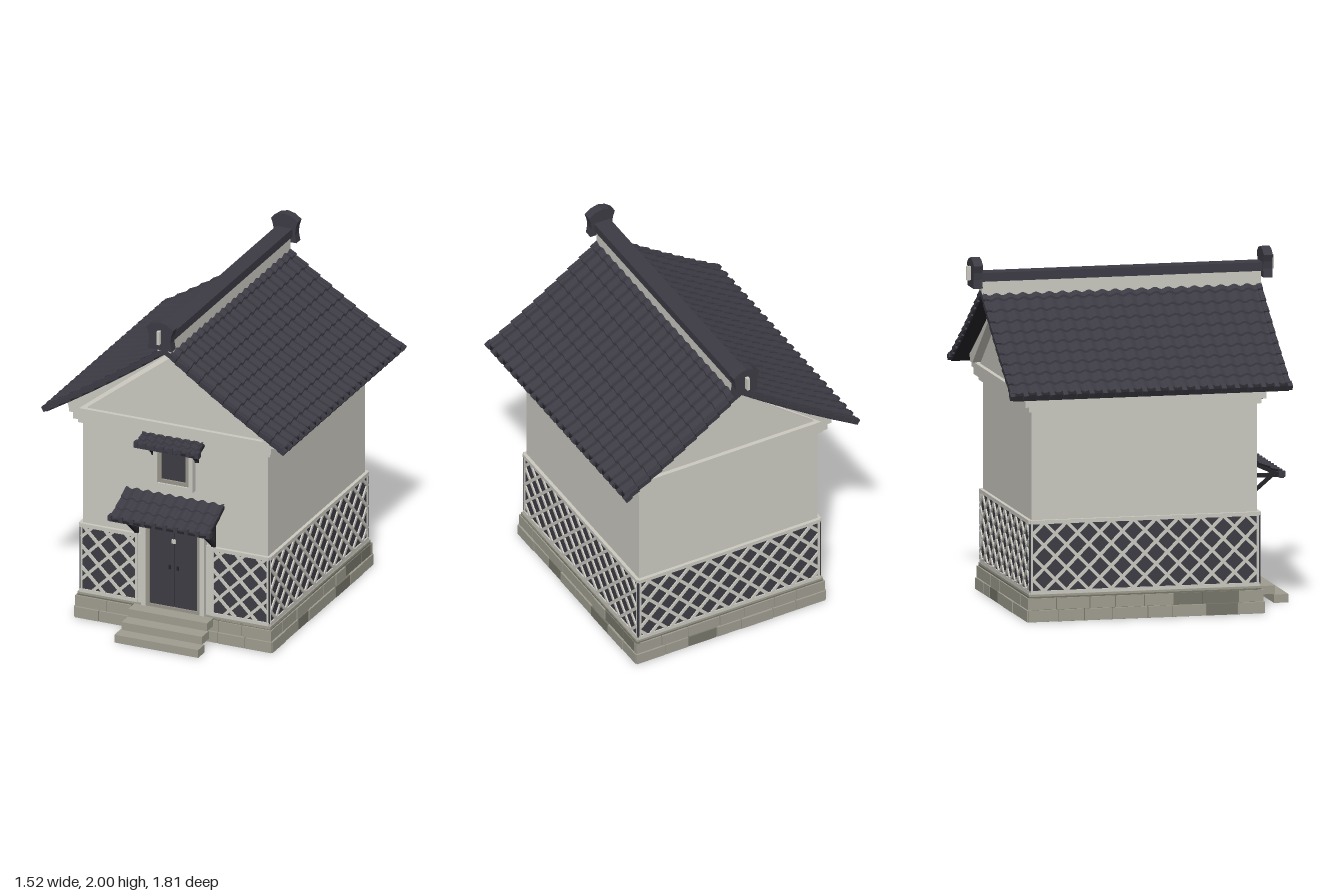
import * as THREE from 'three';

const mat = (name, color, extra = {}) => Object.assign(new THREE.MeshStandardMaterial({ color, flatShading: true, ...extra }), { name });
const M = {
  plaster: mat('plaster', 0xcbc9c0),
  tile: mat('roofTile', 0x3c3b44, { side: THREE.DoubleSide }),
  board: mat('darkBoard', 0x3d3c45),
  iron: mat('blackIron', 0x25252a),
  stone: mat('stone', 0x9f9d90),
  darkStone: mat('darkStone', 0x77766a),
  frame: mat('frameWood', 0x98958a),
};
const ZC = -0.01; // centre of the building in z

function add(parent, name, geo, material, x = 0, y = 0, z = 0) {
  const m = new THREE.Mesh(geo, material);
  m.name = name;
  m.position.set(x, y, z);
  parent.add(m);
  return m;
}
// box given by its limits on each axis
function block(parent, name, material, x0, x1, y0, y1, z0, z1) {
  return add(parent, name, new THREE.BoxGeometry(x1 - x0, y1 - y0, z1 - z0), material,
    (x0 + x1) / 2, (y0 + y1) / 2, (z0 + z1) / 2);
}
// flat bar between two points of a plane
function bar(parent, name, material, ax, ay, bx, by, width, depth, z = 0) {
  const m = add(parent, name, new THREE.BoxGeometry(Math.hypot(bx - ax, by - ay), width, depth), material,
    (ax + bx) / 2, (ay + by) / 2, z);
  m.rotation.z = Math.atan2(by - ay, bx - ax);
  return m;
}
function group(parent, name, x = 0, y = 0, z = 0, ry = 0) {
  const g = new THREE.Group();
  g.name = name;
  g.position.set(x, y, z);
  g.rotation.y = ry;
  parent.add(g);
  return g;
}
function prism(points, z0, z1) {
  const shape = new THREE.Shape(points.map(p => new THREE.Vector2(p[0], p[1])));
  return new THREE.ExtrudeGeometry(shape, { depth: z1 - z0, bevelEnabled: false }).translate(0, 0, z0);
}
let seed = 7;
const rnd = () => (seed = (seed * 16807) % 2147483647) / 2147483647;

// wavy stepped tile surface: slopes out along +x, width along z
function tileSheet(path, width, tiles, courses, amp, step) {
  const cols = tiles * 6, rows = courses * 2, pos = [], idx = [];
  for (let r = 0; r < rows; r++) {
    const c = Math.floor(r / 2), low = r % 2;
    const [x, y] = path((c + low) / courses);
    for (let k = 0; k <= cols; k++) {
      const wave = amp * (0.5 + 0.5 * Math.cos((k / 6) * Math.PI * 2));
      pos.push(x, y + wave + (low ? step : 0), (k / cols - 0.5) * width);
      if (r && k) {
        const a = (r - 1) * (cols + 1) + k - 1, b = a + cols + 1;
        idx.push(a, a + 1, b, b, a + 1, b + 1);
      }
    }
  }
  const g = new THREE.BufferGeometry();
  g.setAttribute('position', new THREE.Float32BufferAttribute(pos, 3));
  g.setIndex(idx);
  g.computeVertexNormals();
  return g;
}

// main roof line, from ridge to eave
const roofPath = u => [0.735 * u, 1.805 - 0.487 * u - 0.05 * u * (1 - u)];

function lattice(parent, name, w, x, z, ry) {
  const y0 = 0.175, h = 0.385, p = 0.13;
  const g = group(parent, name, x, y0, z, ry);
  block(g, 'panelBoard', M.board, -w / 2, w / 2, 0, h, -0.005, 0.008);
  // diagonal strips clipped to the panel
  for (const s of [1, -1]) {
    for (let c = -w / 2 - h + p / 2; c < w / 2; c += p) {
      const xa = Math.max(c, -w / 2), xb = Math.min(c + h, w / 2);
      if (xb - xa < 0.02) continue;
      bar(g, 'latticeStrip', M.plaster, s * xa, xa - c, s * xb, xb - c, 0.018, 0.012, 0.01);
    }
  }
  for (const s of [-1, 1]) block(g, 'panelEdge', M.plaster, s * w / 2 - 0.006, s * w / 2 + 0.006, 0, h, 0, 0.014);
  block(g, 'bottomRail', M.plaster, -w / 2 - 0.01, w / 2 + 0.01, -0.018, 0.002, -0.005, 0.016);
  block(g, 'topRail', M.plaster, -w / 2 - 0.01, w / 2 + 0.01, h - 0.002, h + 0.02, -0.005, 0.018);
}

// small tiled roof on brackets over an opening
function canopy(parent, name, half, top, drop, reach, tiles, braceX, braceY) {
  const g = group(parent, name, 0, 0, 0.645);
  const path = u => [reach * u, top - drop * (1.35 * u - 0.35 * u * u)];
  const roof = add(g, 'canopyTiles', tileSheet(path, half * 2, tiles, 3, 0.014, 0.008), M.tile);
  roof.rotation.y = -Math.PI / 2;
  // deck below the tiles
  const us = [0, 0.33, 0.67, 1];
  const deck = prism([...us.map(path), ...us.slice().reverse().map(u => { const p = path(u); return [p[0], p[1] - 0.015]; })], -half, half);
  add(g, 'canopyDeck', deck, M.iron).rotation.y = -Math.PI / 2;
  const low = top - drop;
  block(g, 'canopyEave', M.tile, -half - 0.01, half + 0.01, low - 0.018, low + 0.008, reach - 0.025, reach);
  for (let i = 0; i <= tiles; i++) {
    const x = (i / tiles * 2 - 1) * half;
    block(g, 'canopyTileEnd', M.tile, x - 0.011, x + 0.011, low - 0.012, low + 0.02, reach - 0.03, reach + 0.008);
  }
  for (const s of [-1, 1]) {
    const b = group(g, 'bracket', s * braceX, 0, 0, -Math.PI / 2);
    block(b, 'bracketArm', M.iron, 0, reach - 0.02, low - 0.022, low, -0.012, 0.012);
    block(b, 'bracketPost', M.iron, 0, 0.014, braceY, low, -0.012, 0.012);
    bar(b, 'bracketBrace', M.iron, 0.005, braceY + 0.015, reach - 0.05, low - 0.01, 0.018, 0.024);
  }
}

function foundation(parent) {
  const g = group(parent, 'foundation', 0, 0, ZC);
  block(g, 'foundationCore', M.darkStone, -0.6, 0.6, 0, 0.145, -0.675, 0.675);
  block(g, 'foundationCap', M.stone, -0.6, 0.6, 0.14, 0.157, -0.675, 0.675);
  const sides = [[1.22, 0.6, 0.675, 7, 0], [1.22, 0.6, 0.675, 7, Math.PI], [1.37, 0.675, 0.6, 8, Math.PI / 2], [1.37, 0.675, 0.6, 8, -Math.PI / 2]];
  for (const [len, , d, n, ry] of sides) {
    const wall = group(g, 'stoneFace', 0, 0, 0, ry);
    for (let row = 0; row < 2; row++) {
      let x = -len / 2;
      for (let i = 0; i < n; i++) {
        const end = i === n - 1 ? len / 2 : -len / 2 + (len / n) * (i + 1) + (rnd() - 0.5) * 0.05;
        const y = row * 0.068 + 0.003, out = d + (row ? 0.006 : 0.012) + rnd() * 0.005;
        block(wall, 'stone', rnd() > 0.85 ? M.darkStone : M.stone, x + 0.002, end - 0.002, y, y + 0.065, d - 0.02, out);
        x = end;
      }
    }
  }
  // three front steps
  [[0.26, 0, 0.82, 0.905], [0.25, 0.05, 0.735, 0.83], [0.245, 0.1, 0.66, 0.75]].forEach(([hw, y, z0, z1]) =>
    block(parent, 'step', M.stone, -hw, hw, y, y + 0.048, z0, z1));
}

function mainRoof(parent) {
  const g = group(parent, 'roof', 0, 0, ZC);
  const us = [0, 0.2, 0.4, 0.6, 0.8, 1];
  const line = (dy, list) => list.map(u => { const p = roofPath(u); return [p[0], p[1] + dy]; });
  for (const s of [1, -1]) {
    const half = group(g, s > 0 ? 'leftSlope' : 'rightSlope', 0, 0, 0, s > 0 ? 0 : Math.PI);
    add(half, 'tiles', tileSheet(roofPath, 1.61, 21, 10, 0.014, 0.012), M.tile);
    add(half, 'roofDeck', prism([...line(0, us), ...line(-0.03, us).reverse()], -0.8, 0.8), M.iron);
    // plaster eave moulding under the deck
    add(half, 'eaveMoulding', prism([...line(-0.028, [0, 0.3, 0.6, 0.88]), [0.635, 1.3], [0.58, 1.3], [0, 1.757]], -0.715, 0.715), M.plaster);
    for (let i = 0; i <= 21; i++) {
      const z = (i / 21 - 0.5) * 1.61;
      const end = add(half, 'eaveTileEnd', new THREE.BoxGeometry(0.045, 0.032, 0.028), M.tile, 0.732, 1.318, z);
      end.rotation.z = -0.55;
    }
    // overlapping verge tiles on both gable edges
    for (const e of [-1, 1]) for (let c = 0; c < 10; c++) {
      const a = roofPath(c / 10), b = roofPath((c + 1) / 10);
      bar(half, 'vergeTile', M.tile, a[0], a[1] - 0.008, b[0], b[1] + 0.004, 0.03, 0.03, e * 0.797);
    }
  }
  // ridge
  block(g, 'ridgePlaster', M.plaster, -0.04, 0.04, 1.78, 1.87, -0.81, 0.81);
  block(g, 'ridgeCap', M.tile, -0.05, 0.05, 1.865, 1.915, -0.82, 0.82);
  const r = [[0.075, 1.83], [0.066, 1.88], [0.07, 1.92], [0.083, 1.96], [0.045, 1.988], [0, 2]];
  const outline = [...r, ...r.slice(0, 5).reverse().map(p => [-p[0], p[1]])];
  for (const s of [-1, 1]) {
    const end = group(g, 'ridgeEnd', 0, 0, 0, s > 0 ? 0 : Math.PI);
    add(end, 'ridgeEndTile', prism(outline, 0.815, 0.868), M.tile);
    block(end, 'ridgeEndPeg', M.plaster, -0.009, 0.009, 1.87, 1.95, 0.86, 0.893);
  }
}

export function createModel() {
  const model = new THREE.Group();
  model.name = 'storehouse';
  foundation(model);

  // walls and stepped cornice
  block(model, 'walls', M.plaster, -0.575, 0.575, 0.15, 1.21, ZC - 0.655, ZC + 0.655);
  [[0.595, 1.2, 1.232, 0.675], [0.615, 1.23, 1.272, 0.7], [0.638, 1.27, 1.302, 0.705]].forEach(([x, y0, y1, z]) =>
    block(model, 'cornice', M.plaster, -x, x, y0, y1, ZC - z, ZC + z));
  for (const s of [-1, 1])
    add(model, 'gable', prism([[-0.54, 1.3], [0.54, 1.3], [0, 1.716]], -0.01, 0.01), M.plaster, 0, 0, ZC + s * 0.67);

  // lattice wainscot on all sides
  for (const s of [-1, 1]) {
    lattice(model, 'sideLattice', 1.31, s * 0.577, ZC, s * Math.PI / 2);
    lattice(model, 'frontLattice', 0.34, s * 0.407, ZC + 0.657, 0);
    for (const e of [-1, 1])
      block(model, 'cornerBoard', M.board, s * 0.58 - 0.01, s * 0.58 + 0.01, 0.17, 0.56, ZC + e * 0.66 - 0.01, ZC + e * 0.66 + 0.01);
  }
  lattice(model, 'backLattice', 1.15, 0, ZC - 0.657, Math.PI);

  // door with nested frames
  const door = group(model, 'door');
  const surround = (g, hw, y0, y1, t, z, m, name, sill) => {
    for (const s of [-1, 1]) block(g, name, m, s * (hw - t / 2) - t / 2, s * (hw - t / 2) + t / 2, y0, y1, 0.64, z);
    block(g, name, m, -hw + t, hw - t, y1 - t, y1, 0.64, z);
    if (sill) block(g, name, m, -hw + t, hw - t, y0, y0 + t, 0.64, z);
  };
  block(door, 'doorJamb', M.plaster, -0.235, 0.235, 0.155, 0.58, 0.64, 0.655);
  surround(door, 0.195, 0.155, 0.715, 0.028, 0.685, M.plaster, 'doorSurround');
  surround(door, 0.168, 0.155, 0.688, 0.02, 0.677, M.frame, 'doorFrame');
  block(door, 'doorBack', M.iron, -0.15, 0.15, 0.16, 0.67, 0.64, 0.658);
  block(door, 'doorLintel', M.frame, -0.15, 0.15, 0.65, 0.67, 0.64, 0.67);
  block(door, 'doorSill', M.frame, -0.15, 0.15, 0.155, 0.17, 0.64, 0.672);
  for (const s of [-1, 1]) {
    block(door, 'doorLeaf', M.board, s * 0.076 - 0.074, s * 0.076 + 0.074, 0.17, 0.65, 0.64, 0.664);
    block(door, 'doorPull', M.iron, s * 0.025 - 0.006, s * 0.025 + 0.006, 0.4, 0.425, 0.66, 0.67);
  }
  block(door, 'doorLock', M.plaster, -0.011, 0.011, 0.562, 0.586, 0.66, 0.672);

  // window with nested frames
  const win = group(model, 'window');
  surround(win, 0.123, 0.9, 1.172, 0.026, 0.683, M.plaster, 'windowSurround', true);
  surround(win, 0.098, 0.925, 1.147, 0.022, 0.672, M.frame, 'windowFrame', true);
  block(win, 'windowShutter', M.board, -0.078, 0.078, 0.94, 1.13, 0.64, 0.66);

  canopy(model, 'doorCanopy', 0.305, 0.84, 0.1, 0.22, 9, 0.24, 0.575);
  canopy(model, 'windowCanopy', 0.19, 1.215, 0.04, 0.125, 7, 0.135, 1.08);

  mainRoof(model);
  return model;
}
